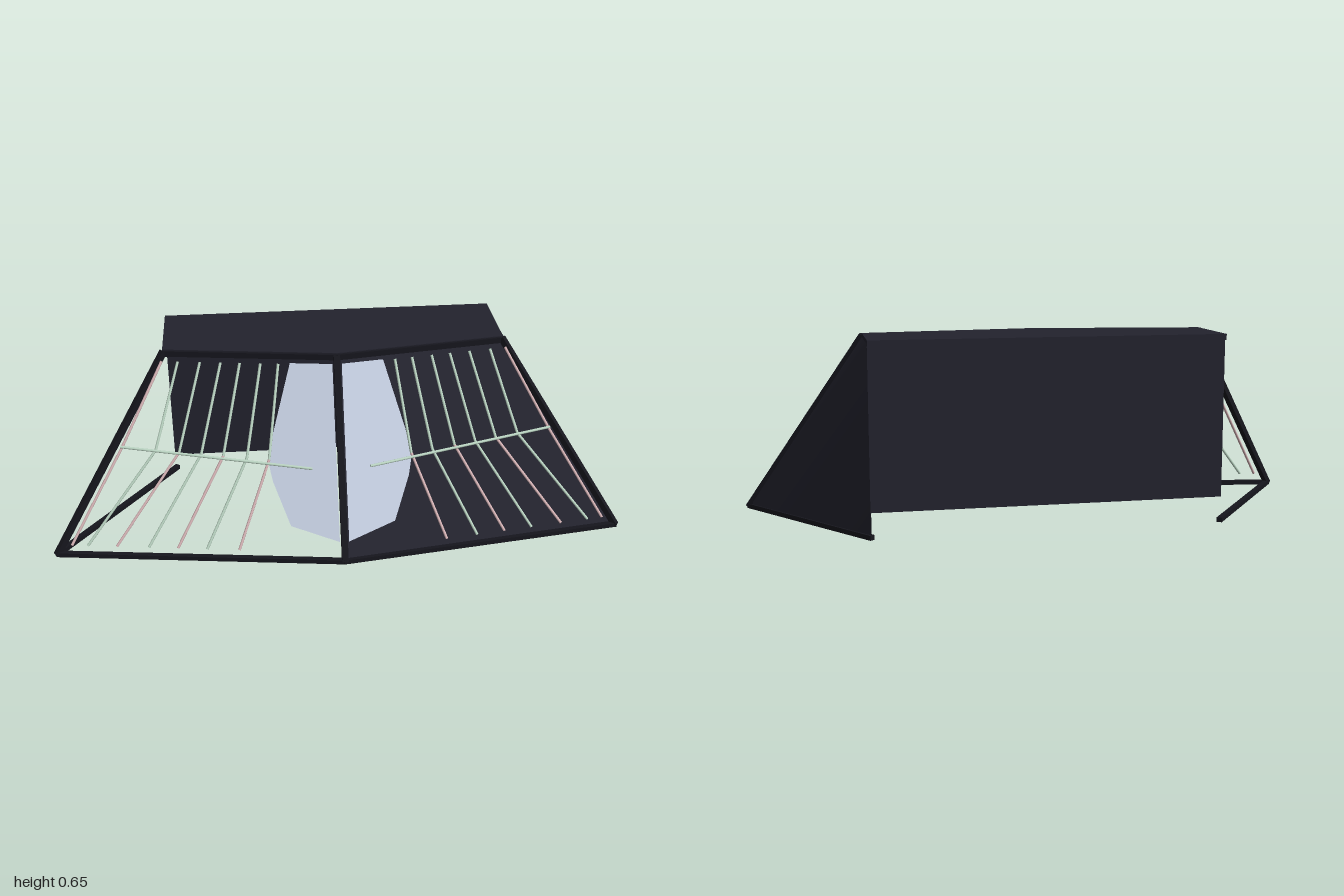
import * as THREE from 'three';

const mat = (name, color, side = THREE.FrontSide) => {
  const m = new THREE.MeshStandardMaterial({ color, side });
  m.name = name;
  return m;
};

export function createModel() {
  const model = new THREE.Group();
  const body = mat('dark panel', 0x23232e, THREE.DoubleSide);
  const frame = mat('black frame', 0x16161d);
  const glass = mat('pale glass', 0xc3cddf, THREE.DoubleSide);
  const green = mat('pale green wire', 0xbcd6c4);
  const pink = mat('pale pink wire', 0xd8b6b8);

  const add = (name, geometry, material, parent = model) => {
    const mesh = new THREE.Mesh(geometry, material);
    mesh.name = name;
    parent.add(mesh);
    return mesh;
  };
  const V = (x, y, z) => new THREE.Vector3(x, y, z);
  // Point on the sloping, folded front, pushed forward by off
  const onFront = (x, y, off = 0) => V(x, y, 0.34 - 0.516 * y - 0.14 * Math.abs(x) + off);

  // Square beam between two points
  const beam = (name, a, b, w = 0.02, h = w) => {
    const mesh = add(name, new THREE.BoxGeometry(w, h, a.distanceTo(b) + 0.008), frame);
    mesh.position.copy(a).lerp(b, 0.5);
    mesh.lookAt(b);
  };
  // Thin round wire between two points
  const wire = (name, a, b, material, parent, r = 0.0048) => {
    const mesh = add(name, new THREE.CylinderGeometry(r, r, a.distanceTo(b), 8), material, parent);
    mesh.position.copy(a).lerp(b, 0.5);
    mesh.quaternion.setFromUnitVectors(V(0, 1, 0), b.clone().sub(a).normalize());
  };
  // Sheet from corner points, fanned from the first
  const sheet = (name, points, material) => {
    const g = new THREE.BufferGeometry().setFromPoints(points);
    const index = [];
    for (let i = 1; i < points.length - 1; i++) index.push(0, i, i + 1);
    g.setIndex(index);
    g.computeVertexNormals();
    return add(name, g, material);
  };

  // Roof slab with a pointed front edge
  const roof = new THREE.Shape([
    [-0.592, 0.348], [-0.592, 0.07], [0, -0.012], [0.592, 0.07], [0.592, 0.348],
  ].map(([x, y]) => new THREE.Vector2(x, y)));
  const roofGeo = new THREE.ExtrudeGeometry(roof, { depth: 0.02, bevelEnabled: false });
  roofGeo.rotateX(-Math.PI / 2);
  add('roof', roofGeo, body).position.y = 0.625;

  // Back wall, stopping short of the ground
  add('backWall', new THREE.BoxGeometry(1.184, 0.535, 0.045), body).position.set(0, 0.3575, -0.3125);

  // Closed panels on the left half
  sheet('frontPanel', [onFront(0, 0.005), onFront(0.99, 0.005), onFront(0.588, 0.635), onFront(0, 0.635)], body);
  sheet('sidePanel', [V(0.99, 0.004, 0.2), V(0.59, 0.004, -0.335), V(0.59, 0.635, -0.335), V(0.59, 0.635, -0.07)], body);

  // Frame beams
  beam('centreBeam', onFront(0, 0.01), onFront(0, 0.635), 0.022);
  for (const s of [1, -1]) {
    const corner = V(s * 0.988, 0.009, 0.202);
    beam('bottomFrontBeam', onFront(0, 0.009), corner, 0.018, 0.016);
    beam('bottomSideBeam', corner, V(s * 0.59, 0.009, -0.333), 0.018, 0.016);
    beam('slantBeam', corner, V(s * 0.59, 0.635, -0.068));
    beam('topFrontBeam', onFront(0, 0.632), onFront(s * 0.588, 0.632), 0.016, 0.02);

    // Glass plates beside the centre beam
    sheet('glassPlate', [
      [0.016, 0.07], [0.18, 0.115], [0.235, 0.25], [0.248, 0.31], [0.23, 0.39], [0.16, 0.612], [0.016, 0.612],
    ].map(([x, y]) => onFront(s * x, y, 0.006)), glass);

    // Bent wires: x at top, knee and bottom
    const wires = new THREE.Group();
    wires.name = 'wireGrille';
    model.add(wires);
    [
      [0.20, 0.245, 0.36], [0.26, 0.32, 0.47], [0.33, 0.40, 0.57], [0.395, 0.475, 0.67],
      [0.465, 0.55, 0.78], [0.54, 0.63, 0.88], [0.595, 0.745, 0.935],
    ].forEach(([top, knee, bottom], i) => {
      const k = onFront(s * knee, 0.311 + 0.052 * knee, 0.02);
      wire('upperWire', onFront(s * top, 0.615, 0.02), k, i === 6 ? pink : green, wires);
      wire('lowerWire', k, onFront(s * bottom, 0.045, 0.02), i % 2 === 0 ? pink : green, wires);
    });
    wire('crossWire', onFront(s * 0.1, 0.3, 0.022), onFront(s * 0.75, 0.352, 0.022), green, wires, 0.005);
  }
  return model;
}
